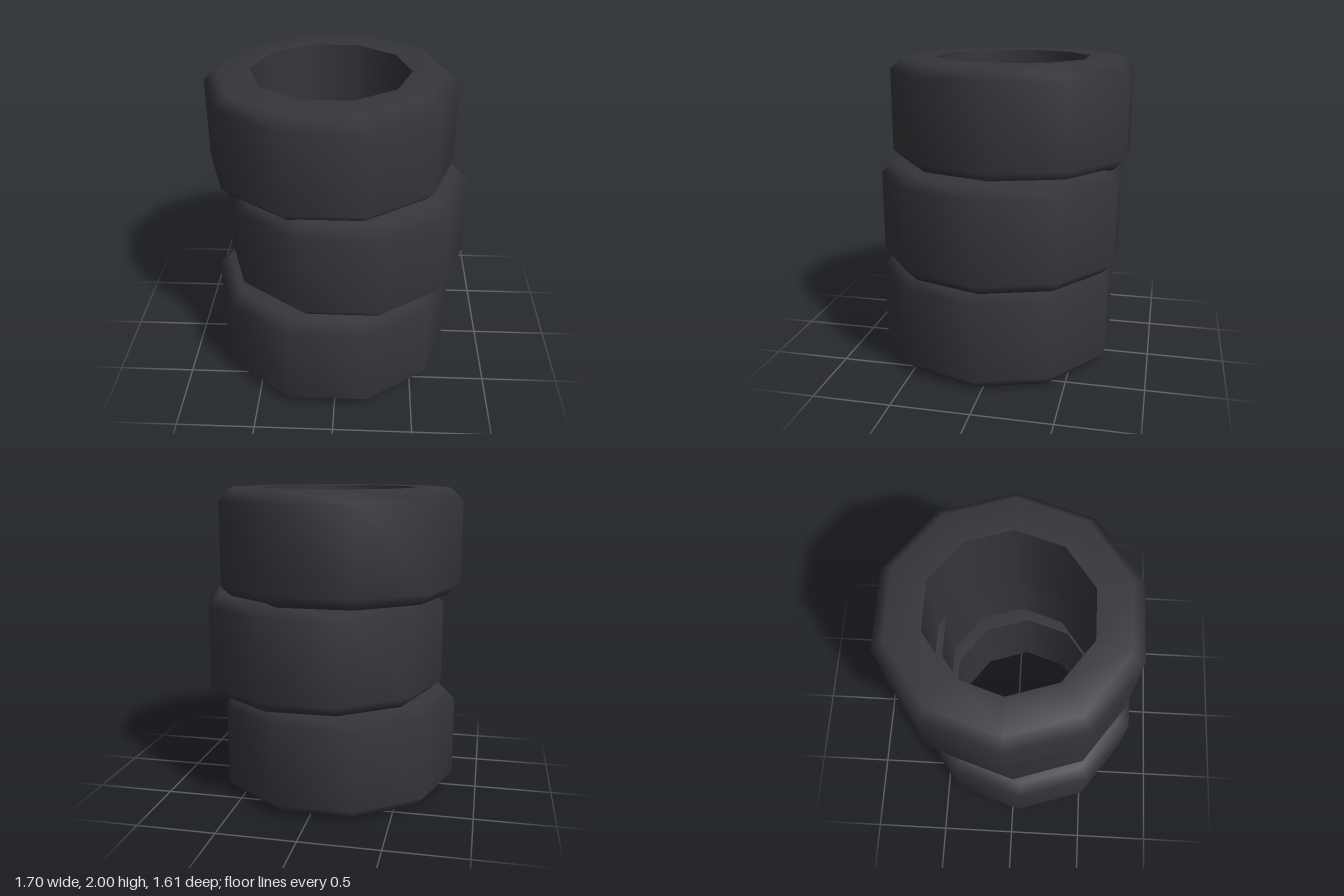
import * as THREE from 'three';

const SIDES = 10;
const R = 0.797, HOLE = 0.503, BEVEL = 0.08, HEIGHT = 0.672;

// Ten-sided ring turned from a profile of [radius, y] points
function turn(points) {
  return new THREE.LatheGeometry(points.map(([r, y]) => new THREE.Vector2(r, y)), SIDES, Math.PI / 2);
}

export function createModel() {
  const model = new THREE.Group();
  model.name = 'tireStack';
  const rubber = new THREE.MeshStandardMaterial({ color: 0x35353b });
  rubber.name = 'dark rubber';

  // Tread, bevelled shoulders and sidewalls in one smooth skin
  const casing = turn([
    [HOLE, 0], [R - BEVEL, 0], [R, 0.075],
    [R, HEIGHT - 0.075], [R - BEVEL, HEIGHT], [HOLE, HEIGHT],
  ]);
  // Straight wall of the hole, with a hard edge to the sidewalls
  const bore = turn([[HOLE, HEIGHT], [HOLE, 0]]);

  // Three tires, each shifted slightly off the axis
  const tires = [
    ['bottomTire', -0.04, 0, 0.045],
    ['middleTire', 0.05, 0.672, 0],
    ['topTire', -0.055, 1.328, -0.045],
  ];
  for (const [name, x, y, z] of tires) {
    const tire = new THREE.Group();
    tire.name = name;
    tire.position.set(x, y, z);
    const outer = new THREE.Mesh(casing, rubber);
    outer.name = 'casing';
    const inner = new THREE.Mesh(bore, rubber);
    inner.name = 'bore';
    tire.add(outer, inner);
    model.add(tire);
  }
  return model;
}
